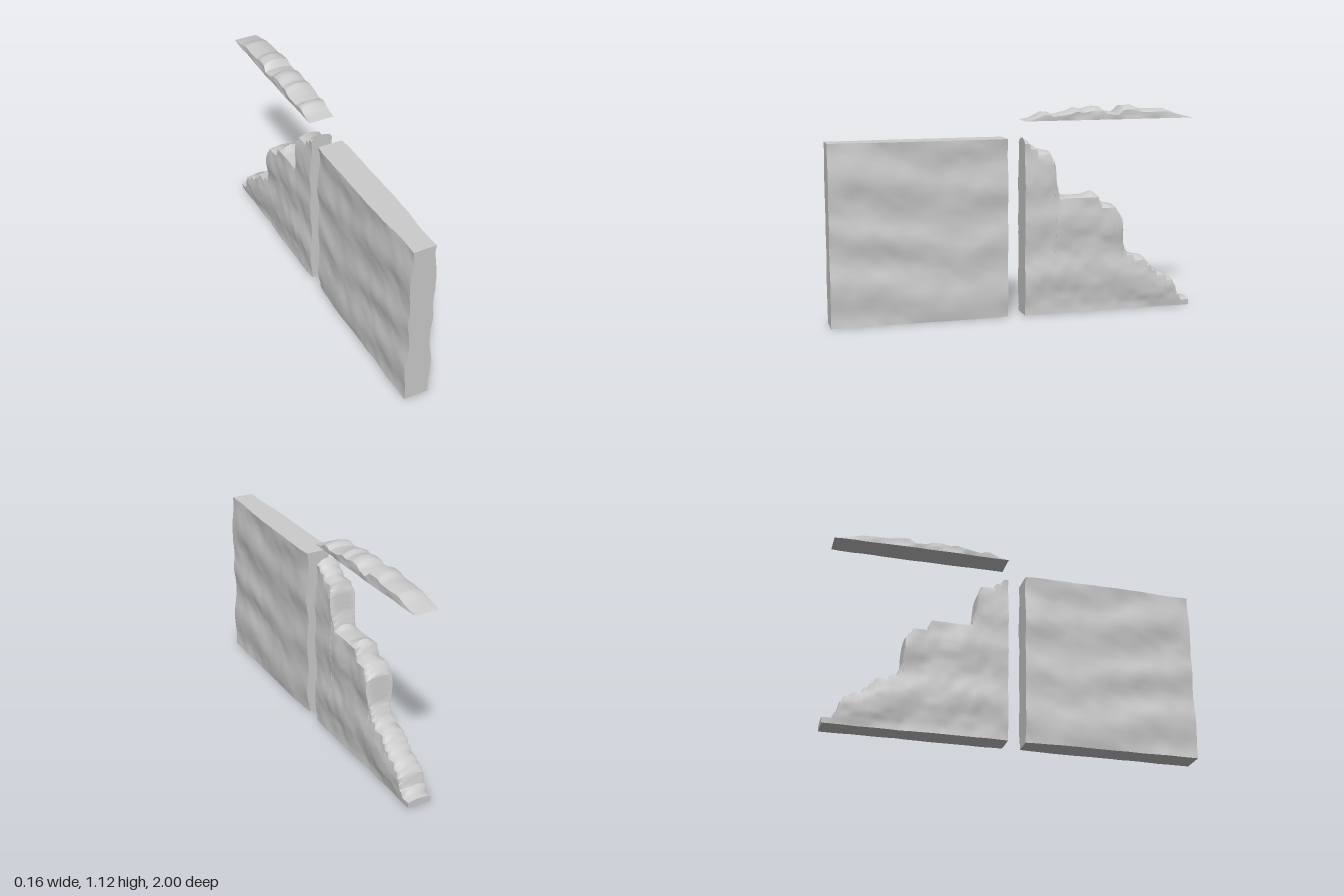
import * as THREE from 'three';
import { toCreasedNormals } from 'three/addons/utils/BufferGeometryUtils.js';

const ROWS = 28, ARCH = 8;
const material = new THREE.MeshStandardMaterial({ color: 0xcccccc });

// Seeded value noise for the hewn stone faces
const hash = (a, b) => {
  const s = Math.sin(a * 127.1 + b * 311.7) * 43758.5453;
  return s - Math.floor(s);
};
function noise(u, v) {
  const i = Math.floor(u), j = Math.floor(v);
  const f = (t) => t * t * (3 - 2 * t);
  const a = f(u - i), b = f(v - j), { lerp } = THREE.MathUtils;
  return lerp(lerp(hash(i, j), hash(i + 1, j), a), lerp(hash(i, j + 1), hash(i + 1, j + 1), a), b);
}

// Half thickness of the wall at a given height and length
function halfWidth(y, z) {
  const wave = 0.006 * Math.sin(y * 22 - 2 + 1.2 * Math.sin(z * 5));
  return 0.068 + wave + 0.012 * (noise(z * 7, y * 9) - 0.5) + 0.006 * (noise(z * 18, y * 26) - 0.5);
}

// Subdivide a [z, y] profile
function subdivide(profile, step) {
  const out = [profile[0]];
  for (let k = 1; k < profile.length; k++) {
    const [z0, y0] = profile[k - 1], [z1, y1] = profile[k];
    const n = Math.max(1, Math.round(Math.hypot(z1 - z0, y1 - y0) / step));
    for (let i = 1; i <= n; i++) out.push([z0 + (z1 - z0) * i / n, y0 + (y1 - y0) * i / n]);
  }
  return out;
}

// Loft of cross-sections running from +z to -z: side, top, other side
function wallGeometry(stations, base, edgeOf) {
  const pos = [], index = [];
  const n = 2 * (ROWS + 1) + ARCH - 1;
  for (const [z, top] of stations) {
    const edge = Math.max(base, edgeOf(top));
    const side = [];
    for (let i = 0; i <= ROWS; i++) {
      const y = base + (edge - base) * i / ROWS;
      side.push([halfWidth(y, z), y]);
    }
    const w = side[ROWS][0], arch = [];
    for (let i = 1; i < ARCH; i++) {
      const u = Math.cos(Math.PI * i / ARCH);
      arch.push([w * u, edge + (top - edge) * (1 - u * u)]);
    }
    const mirrored = side.map(([x, y]) => [-x, y]).reverse();
    for (const [x, y] of [...side, ...arch, ...mirrored]) pos.push(x, y, z);
  }
  // Skin, including the underside where the ring wraps
  for (let k = 0; k < stations.length - 1; k++) {
    for (let i = 0; i < n; i++) {
      const j = (i + 1) % n;
      const a = k * n + i, b = k * n + j, c = b + n, d = a + n;
      index.push(a, d, b, b, d, c);
    }
  }
  // End faces
  const last = (stations.length - 1) * n;
  for (let i = 0; i < (n - 1) / 2; i++) {
    const a = i, b = i + 1, c = n - 2 - i, d = n - 1 - i;
    index.push(a, b, c, a, c, d);
    index.push(last + a, last + c, last + b, last + a, last + d, last + c);
  }
  const geometry = new THREE.BufferGeometry();
  geometry.setAttribute('position', new THREE.Float32BufferAttribute(pos, 3));
  geometry.setIndex(index);
  return toCreasedNormals(geometry, 0.7);
}

export function createModel() {
  const model = new THREE.Group();
  const add = (name, geometry) => {
    const mesh = new THREE.Mesh(geometry, material);
    mesh.name = name;
    model.add(mesh);
  };

  // Intact wall section with a flat top
  add('intactWall', wallGeometry(subdivide([[1, 0.96], [0.05, 0.96]], 0.03), 0, (y) => y));

  // Ruined wall section: crumbling crest, stepped along both faces
  const ruin = [
    [-0.045, 0.96], [-0.08, 0.93], [-0.12, 0.9], [-0.19, 0.885], [-0.21, 0.83], [-0.22, 0.73],
    [-0.24, 0.66], [-0.27, 0.64], [-0.38, 0.64], [-0.43, 0.66], [-0.46, 0.64], [-0.48, 0.6],
    [-0.55, 0.585], [-0.595, 0.53], [-0.605, 0.38], [-0.635, 0.31], [-0.73, 0.29], [-0.785, 0.22],
    [-0.88, 0.175], [-0.915, 0.13], [-0.93, 0.07], [-0.96, 0.05], [-1, 0.04],
  ];
  const stepped = (y) => Math.max(0.025, Math.floor((y - 0.002) / 0.03) * 0.03);
  add('ruinedWall', wallGeometry(subdivide(ruin, 0.014), 0, stepped));

  // Loose rubble crest hovering above the ruined section
  const rubble = [
    [-0.045, 1.05], [-0.1, 1.065], [-0.15, 1.097], [-0.18, 1.094], [-0.2, 1.08], [-0.25, 1.088],
    [-0.3, 1.1], [-0.33, 1.115], [-0.37, 1.105], [-0.43, 1.122], [-0.47, 1.117], [-0.5, 1.095],
    [-0.565, 1.085], [-0.595, 1.122], [-0.66, 1.122], [-0.7, 1.103], [-0.85, 1.1], [-0.91, 1.075],
    [-1, 1.05],
  ];
  add('rubbleCrest', wallGeometry(subdivide(rubble, 0.014), 1.05, (y) => Math.min(y, 1.05 + (y - 1.05) * 0.7)));

  return model;
}
